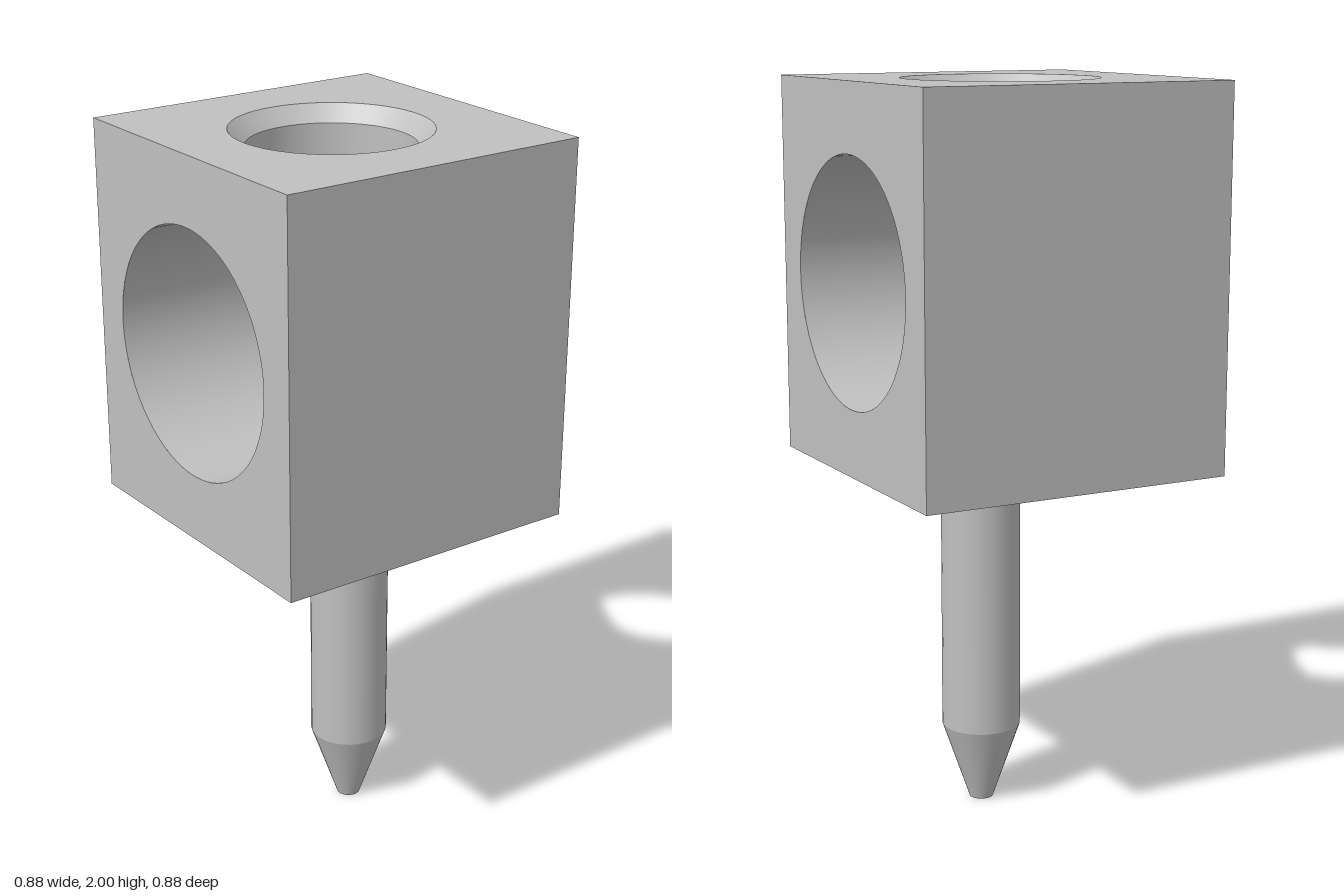
import * as THREE from 'three';

const HALF = 0.44, BOTTOM = 0.965, TOP = 2;      // block
const BORE_R = 0.333, BORE_Y = 1.482;            // front-to-back bore
const NECK_R = 0.222, RIM_R = 0.265, RIM_H = 0.044; // hole in the top
const PIN_R = 0.109, PIN_Z = -0.061, TIP_H = 0.22;

const grey = new THREE.MeshStandardMaterial({ color: 0xc0c0c0, side: THREE.DoubleSide });
grey.name = 'grey';

function part(parent, name, geometry) {
  const mesh = new THREE.Mesh(geometry, grey);
  mesh.name = name;
  parent.add(mesh);
  return mesh;
}

// Rectangle with a round hole, in the xy plane
function piercedPanel(y0, y1, holeY, radius) {
  const shape = new THREE.Shape();
  shape.moveTo(-HALF, y0).lineTo(HALF, y0).lineTo(HALF, y1).lineTo(-HALF, y1).closePath();
  shape.holes.push(new THREE.Path().absarc(0, holeY, radius, 0, Math.PI * 2, true));
  return new THREE.ShapeGeometry(shape, 48);
}

// Height of the bore's ceiling at a given x
const ceiling = (x) => BORE_Y + Math.sqrt(BORE_R ** 2 - x ** 2);

// Ceiling of the bore from the edge of the top hole to the front face
function ceilingStrip() {
  const geometry = new THREE.PlaneGeometry(1, 1, 48, 1);
  const p = geometry.attributes.position;
  for (let i = 0; i < p.count; i++) {
    const phi = p.getX(i) * Math.PI;
    const x = NECK_R * Math.sin(phi);
    p.setXYZ(i, x, ceiling(x), p.getY(i) > 0 ? HALF : NECK_R * Math.cos(phi));
  }
  geometry.computeVertexNormals();
  return geometry;
}

// Upright wall of the top hole, its lower edge cut to meet the bore
function neckWall() {
  const geometry = new THREE.CylinderGeometry(NECK_R, NECK_R, 1, 96, 1, true);
  const p = geometry.attributes.position;
  for (let i = 0; i < p.count; i++) {
    p.setY(i, p.getY(i) > 0 ? TOP - RIM_H : ceiling(p.getX(i)));
  }
  return geometry;
}

export function createModel() {
  const model = new THREE.Group();
  model.name = 'boredBlockOnPin';

  // Block shell
  const block = new THREE.Group();
  block.name = 'block';
  model.add(block);
  const height = TOP - BOTTOM;
  for (const s of [1, -1]) {
    const face = part(block, s > 0 ? 'frontFace' : 'backFace', piercedPanel(BOTTOM, TOP, BORE_Y, BORE_R));
    face.position.z = s * HALF;
    if (s < 0) face.rotation.y = Math.PI;
    const side = part(block, s > 0 ? 'leftFace' : 'rightFace', new THREE.PlaneGeometry(HALF * 2, height));
    side.position.set(s * HALF, BOTTOM + height / 2, 0);
    side.rotation.y = s * Math.PI / 2;
  }
  part(block, 'topFace', piercedPanel(-HALF, HALF, 0, RIM_R).rotateX(-Math.PI / 2)).position.y = TOP;
  part(block, 'bottomFace', new THREE.PlaneGeometry(HALF * 2, HALF * 2).rotateX(Math.PI / 2)).position.y = BOTTOM;

  // Bore: a trough open at the top, plus a ceiling strip on each side of the top hole
  const reach = Math.PI - Math.asin(NECK_R / BORE_R);
  const trough = new THREE.CylinderGeometry(BORE_R, BORE_R, HALF * 2, 80, 1, true, -reach, reach * 2);
  part(block, 'boreWall', trough.rotateX(Math.PI / 2)).position.y = BORE_Y;
  part(block, 'boreCeilingFront', ceilingStrip());
  part(block, 'boreCeilingBack', ceilingStrip()).rotation.y = Math.PI;

  // Top hole with its chamfer
  part(block, 'topHoleWall', neckWall());
  const chamfer = new THREE.CylinderGeometry(RIM_R, NECK_R, RIM_H, 96, 1, true);
  part(block, 'topHoleChamfer', chamfer).position.y = TOP - RIM_H / 2;

  // Pin, set towards the back, with a blunt tapered tip
  const pin = new THREE.Group();
  pin.name = 'pin';
  pin.position.z = PIN_Z;
  model.add(pin);
  const shaft = new THREE.CylinderGeometry(PIN_R, PIN_R, BOTTOM - TIP_H, 32, 1, true);
  part(pin, 'pinShaft', shaft).position.y = (BOTTOM + TIP_H) / 2;
  const tip = new THREE.CylinderGeometry(PIN_R, 0.033, TIP_H, 32, 1, true);
  part(pin, 'pinTip', tip).position.y = TIP_H / 2;
  part(pin, 'pinEnd', new THREE.CircleGeometry(0.033, 32).rotateX(Math.PI / 2));

  return model;
}
